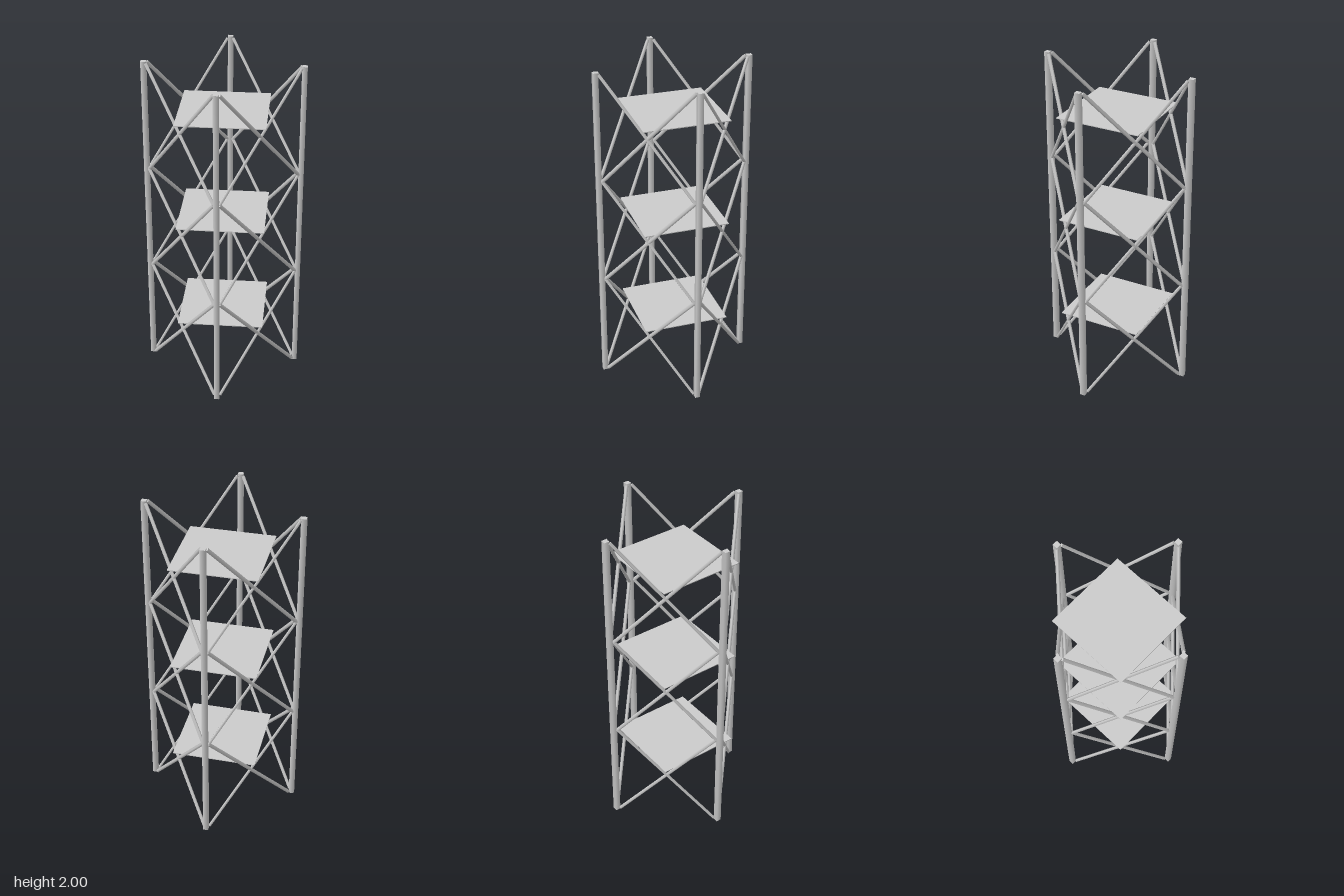
import * as THREE from 'three';

const HALF = 0.323;      // post centre offset from the axis
const BAY = 0.66;        // height of one braced bay
const BASE = 0.01;       // height of the lowest brace joint
const BRACE_X = 0.3;     // brace end offset along a side

export function createModel() {
  const tower = new THREE.Group();
  tower.name = 'latticeTower';
  const mat = new THREE.MeshStandardMaterial({ color: 0xcccccc });

  const add = (parent, name, geometry) => {
    const mesh = new THREE.Mesh(geometry, mat);
    mesh.name = name;
    parent.add(mesh);
    return mesh;
  };

  // Four-sided corner posts, set diamond-wise
  const postGeo = new THREE.CylinderGeometry(0.022, 0.022, 2, 4);
  for (const x of [-HALF, HALF])
    for (const z of [-HALF, HALF])
      add(tower, 'cornerPost', postGeo).position.set(x, 1, z);

  // Crossed braces: one X per bay on each of the four sides
  const braceGeo = new THREE.CylinderGeometry(0.011, 0.011, Math.hypot(2 * BRACE_X, BAY), 4);
  const tilt = Math.atan2(2 * BRACE_X, BAY);
  for (let side = 0; side < 4; side++) {
    const panel = new THREE.Group();
    panel.name = 'bracedSide';
    panel.rotation.y = side * Math.PI / 2;
    for (let bay = 0; bay < 3; bay++)
      for (const s of [-1, 1]) {
        const brace = add(panel, 'brace', braceGeo);
        brace.position.set(0, BASE + BAY * (bay + 0.5), HALF + 0.001);
        brace.rotation.z = s * tilt;
      }
    tower.add(panel);
  }

  // Thin square platforms turned 45 degrees
  const plateSize = 0.366 * Math.SQRT2;
  const plateGeo = new THREE.BoxGeometry(plateSize, 0.005, plateSize);
  for (let i = 0; i < 3; i++) {
    const plate = add(tower, 'platform', plateGeo);
    plate.position.y = 0.4 + BAY * i;
    plate.rotation.y = Math.PI / 4;
  }

  return tower;
}
